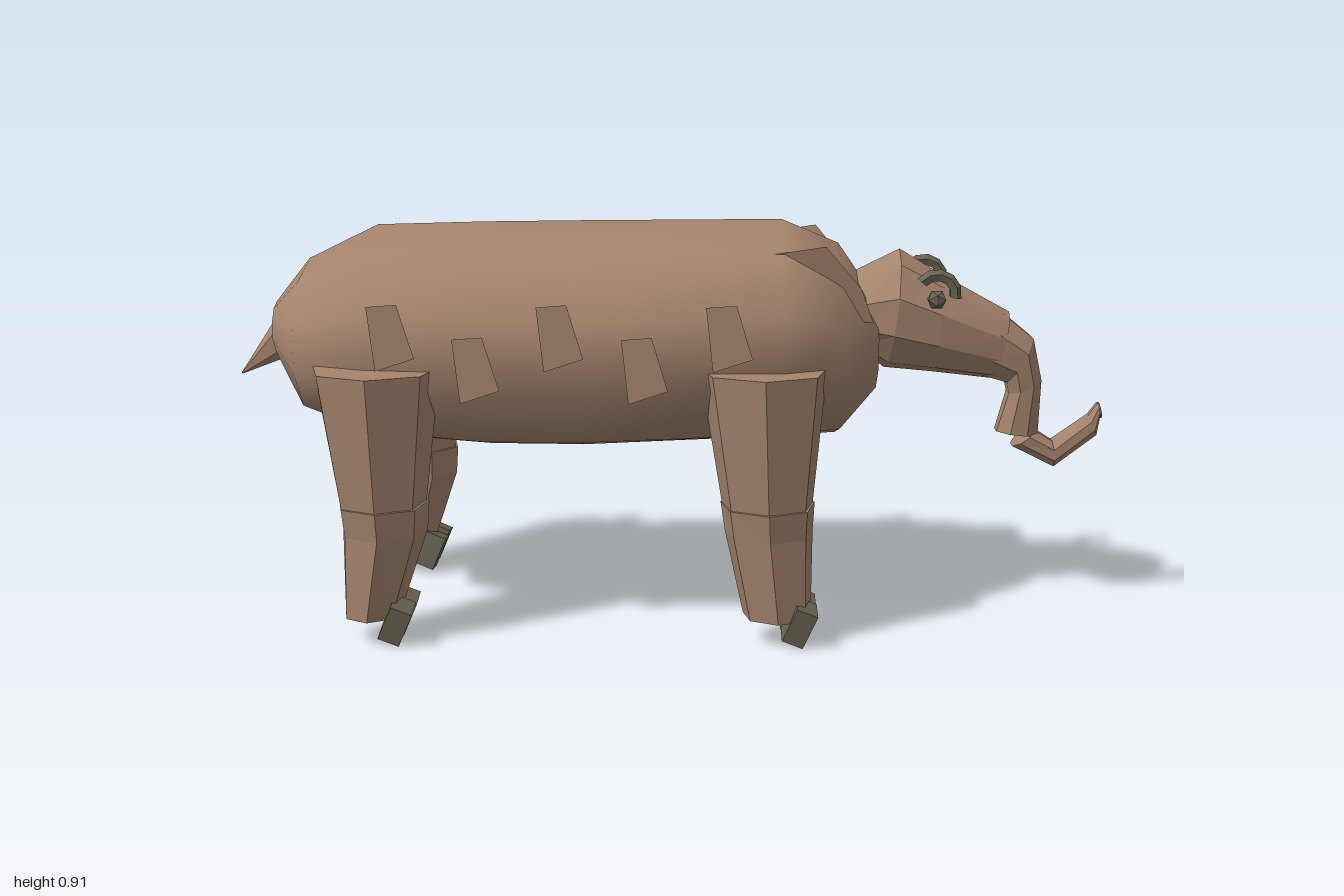
import * as THREE from 'three';

// Skin a row of rings. Each ring: [topX, topY, bottomX, bottomY, halfWidth]
function loft(rings, { sides = 8, phase = 0, z = 0, smooth = false } = {}) {
  const pos = [], idx = [], last = rings.length - 1;
  for (const [tx, ty, bx, by, w] of rings) {
    for (let j = 0; j < sides; j++) {
      const a = phase + (j / sides) * Math.PI * 2, c = Math.cos(a) / 2;
      pos.push((tx + bx) / 2 + (tx - bx) * c, (ty + by) / 2 + (ty - by) * c, z + w * Math.sin(a));
    }
  }
  for (let i = 0; i < last; i++) {
    for (let j = 0; j < sides; j++) {
      const k = (j + 1) % sides, a = i * sides, b = a + sides;
      idx.push(a + j, a + k, b + j, a + k, b + k, b + j);
    }
  }
  for (let j = 1; j < sides - 1; j++) {
    const e = last * sides;
    idx.push(0, j + 1, j, e, e + j, e + j + 1);
  }
  const g = new THREE.BufferGeometry();
  g.setAttribute('position', new THREE.Float32BufferAttribute(pos, 3));
  g.setIndex(idx);
  const out = smooth ? g : g.toNonIndexed();
  out.computeVertexNormals();
  return out;
}

// Flat outline in the xy plane
function plate(points) {
  return new THREE.ShapeGeometry(new THREE.Shape(points.map(([x, y]) => new THREE.Vector2(x, y))));
}

export function createModel() {
  const model = new THREE.Group();
  const skin = new THREE.MeshStandardMaterial({ color: 0xa5846d, flatShading: true });
  skin.name = 'tan skin';
  const smoothSkin = skin.clone();
  smoothSkin.flatShading = false;
  const thinSkin = skin.clone();
  thinSkin.side = THREE.DoubleSide;
  const horn = new THREE.MeshStandardMaterial({ color: 0x686253, flatShading: true });
  horn.name = 'dark olive grey';

  const add = (name, geometry, material, parent = model) => {
    const mesh = new THREE.Mesh(geometry, material);
    mesh.name = name;
    parent.add(mesh);
    return mesh;
  };

  // Barrel body
  add('body', loft([
    [-0.91, 0.72, -0.91, 0.60, 0.065],
    [-0.83, 0.82, -0.83, 0.47, 0.23],
    [-0.67, 0.898, -0.67, 0.405, 0.298],
    [-0.42, 0.905, -0.42, 0.385, 0.33],
    [-0.2, 0.908, -0.2, 0.383, 0.333],
    [0.25, 0.912, 0.25, 0.405, 0.325],
    [0.38, 0.858, 0.38, 0.415, 0.26],
    [0.465, 0.735, 0.465, 0.52, 0.155],
  ], { sides: 10, smooth: true }), smoothSkin);

  // Head, trunk and upturned trunk tip
  add('head', loft([
    [0.41, 0.79, 0.43, 0.62, 0.125],
    [0.52, 0.845, 0.49, 0.57, 0.143],
    [0.61, 0.79, 0.60, 0.56, 0.122],
    [0.775, 0.70, 0.735, 0.545, 0.075],
  ], { sides: 10 }), skin);
  add('trunk', loft([
    [0.76, 0.705, 0.715, 0.55, 0.08],
    [0.832, 0.645, 0.77, 0.535, 0.066],
    [0.855, 0.545, 0.775, 0.51, 0.056],
    [0.853, 0.412, 0.75, 0.422, 0.046],
  ], { phase: Math.PI / 8 }), skin);
  add('trunkTip', loft([
    [0.845, 0.425, 0.79, 0.385, 0.045],
    [0.885, 0.40, 0.89, 0.335, 0.035],
    [0.965, 0.46, 0.988, 0.41, 0.024],
    [0.985, 0.487, 0.994, 0.45, 0.018],
  ], { phase: Math.PI / 8 }), skin);
  add('nostril', loft([
    [0.985, 0.487, 0.994, 0.45, 0.018],
    [0.99, 0.489, 0.999, 0.452, 0.018],
  ], { phase: Math.PI / 8 }), horn);

  // Tail
  add('tail', loft([
    [-1, 0.552, -0.998, 0.549, 0.002],
    [-0.915, 0.68, -0.89, 0.59, 0.026],
    [-0.87, 0.71, -0.85, 0.64, 0.02],
  ], { sides: 6 }), skin);

  for (const side of [1, -1]) {
    const suffix = side > 0 ? 'Near' : 'Far';

    // Legs: [y, centre x, x radius, z radius] from bottom to top
    const legs = {
      frontLeg: {
        lower: [[0.06, 0.24, 0.078, 0.077], [0.25, 0.22, 0.1, 0.095], [0.315, 0.217, 0.107, 0.106]],
        upper: [[0.29, 0.217, 0.1, 0.095], [0.615, 0.205, 0.143, 0.127]], toeX: 0.288,
      },
      hindLeg: {
        lower: [[0.06, -0.665, 0.064, 0.077], [0.25, -0.633, 0.097, 0.095], [0.315, -0.634, 0.103, 0.106]],
        upper: [[0.29, -0.636, 0.096, 0.095], [0.615, -0.642, 0.143, 0.127]], toeX: -0.605,
      },
    };
    for (const [name, leg] of Object.entries(legs)) {
      const group = new THREE.Group();
      group.name = name + suffix;
      model.add(group);
      for (const part of ['lower', 'upper']) {
        const rings = leg[part].map(([y, x, rx, rz]) => [x - rx, y, x + rx, y, rz]);
        add(part + 'Leg', loft(rings, { sides: 7, phase: side * Math.PI / 2, z: side * 0.272 }), skin, group);
      }
      // Two tilted toes
      for (const z of [0.31, 0.235]) {
        const toe = add('toe', new THREE.BoxGeometry(0.05, 0.084, 0.066), horn, group);
        toe.position.set(leg.toeX, 0.054, side * z);
        toe.rotation.set(side * 0.15, 0, -0.4);
      }
    }

    // Ear flap
    const ear = add('ear' + suffix, plate([[0.21, 0.855], [0.34, 0.875], [0.42, 0.78], [0.45, 0.7], [0.39, 0.71], [0.31, 0.82]]), thinSkin);
    const p = ear.geometry.attributes.position;
    for (let i = 0; i < p.count; i++) p.setZ(i, side * (0.165 + (p.getY(i) - 0.7) * 0.2));
    ear.geometry.computeVertexNormals();

    // Eye and arched brow
    add('eye' + suffix, new THREE.IcosahedronGeometry(0.023, 0), horn).position.set(0.592, 0.748, side * 0.13);
    const brow = add('brow' + suffix, new THREE.TorusGeometry(0.042, 0.014, 5, 5, Math.PI * 0.85), horn);
    brow.position.set(0.592, 0.76, side * 0.126);
    brow.rotation.z = -0.2;

    // Hanging skin patches along the flank
    for (let i = 0; i < 5; i++) {
      const patch = add('flankPatch' + suffix, plate([[-0.045, 0], [0.02, 0.005], [0.055, -0.112], [-0.03, -0.14]]), thinSkin);
      patch.position.set(-0.6 + i * 0.181, i % 2 ? 0.692 : 0.762, side * 0.334);
    }
  }
  return model;
}
